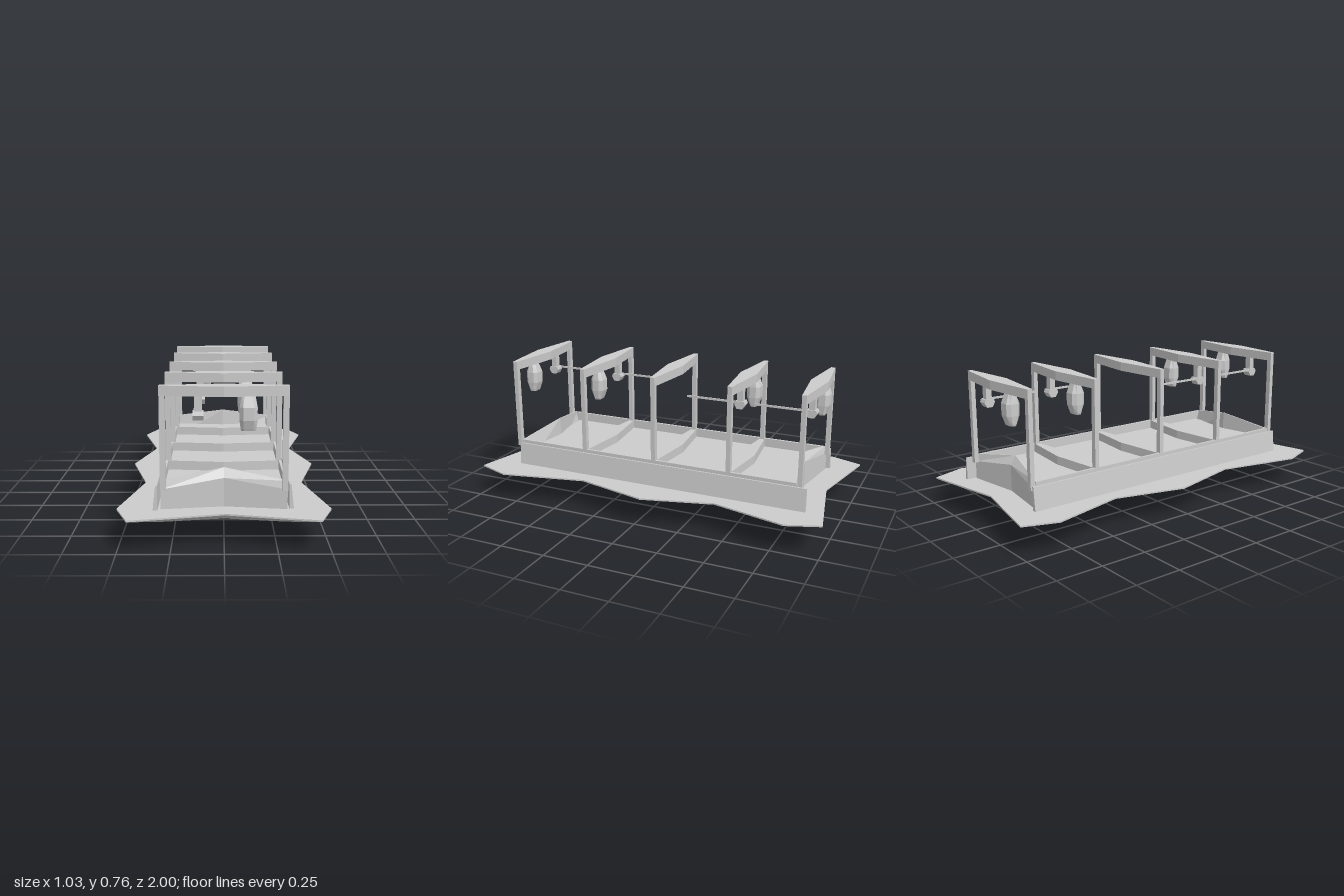
import * as THREE from 'three';

const material = new THREE.MeshStandardMaterial({ color: 0xcccccc, flatShading: true });

function add(parent, name, geometry, x = 0, y = 0, z = 0) {
  const mesh = new THREE.Mesh(geometry, material);
  mesh.name = name;
  mesh.position.set(x, y, z);
  parent.add(mesh);
  return mesh;
}

function fromTriangles(points) {
  const geometry = new THREE.BufferGeometry();
  geometry.setAttribute('position', new THREE.Float32BufferAttribute(points.flat(), 3));
  geometry.computeVertexNormals();
  return geometry;
}

// Solid through cross-sections [x, [[z, y], ...]], listed along +x
function loft(sections) {
  const rings = sections.map(([x, ring]) => ring.map(([z, y]) => [x, y, z]));
  const n = rings[0].length, last = rings[rings.length - 1], tris = [];
  for (let i = 0; i < rings.length - 1; i++) {
    for (let j = 0; j < n; j++) {
      const k = (j + 1) % n;
      const a = rings[i][j], b = rings[i][k], c = rings[i + 1][k], d = rings[i + 1][j];
      tris.push(a, d, c, a, c, b);
    }
  }
  for (let j = 1; j < n - 1; j++) {
    tris.push(rings[0][0], rings[0][j], rings[0][j + 1]);
    tris.push(last[0], last[j + 1], last[j]);
  }
  return fromTriangles(tris);
}

// Cross beam, thin at the ends and wide in the middle
function beam(y0, y1) {
  const rect = (w) => [[w, y0], [w, y1], [-w, y1], [-w, y0]];
  return loft([[-0.303, rect(0.012)], [0, rect(0.047)], [0.303, rect(0.012)]]);
}

function createBase() {
  const base = new THREE.Group();
  base.name = 'base';
  const mirror = (points) => points.map(([x, ...rest]) => [-x, ...rest]).reverse();

  // Right-hand half of the outline, front to back
  const half = [[0.45, 1], [0.515, 0.82], [0.415, 0.36], [0.515, -0.04],
    [0.415, -0.42], [0.515, -0.82], [0.45, -1]];
  const outline = [[0, 0.9], ...half, [0, -0.91], ...mirror(half)];
  const shape = new THREE.Shape(outline.map(([x, z]) => new THREE.Vector2(x, z)));
  const slab = new THREE.ExtrudeGeometry(shape, { depth: 0.008, bevelEnabled: false });
  slab.rotateX(Math.PI / 2);
  add(base, 'deckSlab', slab, 0, 0.163, 0);

  // Underside: a sloping band from the rim to a lower ring, one point per rim point
  const lowerHalf = [[0.3, 0.1, 0.83], [0.3, 0.1, 0.83], [0.27, 0.103, 0.4], [0.3, 0.113, -0.02],
    [0.27, 0.103, -0.45], [0.3, 0.1, -0.83], [0.3, 0.1, -0.83]];
  const lower = [[0, 0.1, 0.78], ...lowerHalf, [0, 0.1, -0.79], ...mirror(lowerHalf)];
  const rim = outline.map(([x, z]) => [x, 0.155, z]);
  const tris = [];
  rim.forEach((a, i) => {
    const k = (i + 1) % rim.length;
    tris.push(a, lower[i], lower[k], a, lower[k], rim[k]);
  });

  // Two shallow keels meeting at a raised saddle
  const saddle = [0, 0.12, -0.02];
  const keels = [
    [[0, 0, 0.41], [...lower.slice(0, 5), saddle, ...lower.slice(12)]],
    [[0, 0, -0.45], [saddle, ...lower.slice(4, 13)]],
  ];
  for (const [tip, ring] of keels) {
    ring.forEach((p, i) => tris.push(tip, ring[(i + 1) % ring.length], p));
  }
  add(base, 'underside', fromTriangles(tris));
  return base;
}

function createBody() {
  const body = new THREE.Group();
  body.name = 'body';
  add(body, 'floor', new THREE.BoxGeometry(0.59, 0.09, 1.56), 0, 0.205, 0);
  for (const s of [1, -1]) {
    add(body, 'sideRail', new THREE.BoxGeometry(0.014, 0.14, 1.64), s * 0.296, 0.23, 0);

    // Folded end wall with a sloping cap that peaks in the middle
    const edge = [[0.83, 0.16], [0.83, 0.26], [0.82, 0.3], [0.81, 0.3], [0.775, 0.16]];
    const fold = [[0.785, 0.16], [0.785, 0.305], [0.755, 0.35], [0.75, 0.35], [0.745, 0.16]];
    const wall = add(body, 'endWall', loft([[-0.303, edge], [0, fold], [0.303, edge]]));
    wall.rotation.y = s > 0 ? 0 : Math.PI;

    // Leaning outer panel, wider at its foot
    const section = [[0.335, 0.16], [0.321, 0.285], [0.312, 0.285], [0.312, 0.16]];
    const panel = add(body, 'sidePanel', loft([[-0.82, section], [0.88, section]]));
    panel.rotation.y = s * Math.PI / 2;
    if (s < 0) panel.position.set(-0.005, 0, -0.03);
  }
  return body;
}

function createFrame(z) {
  const frame = new THREE.Group();
  frame.name = 'frame';
  frame.position.z = z;
  add(frame, 'topBeam', beam(0.715, 0.763));
  for (const s of [1, -1]) {
    add(frame, 'post', new THREE.BoxGeometry(0.028, 0.465, 0.024), s * 0.289, 0.4925, 0);
  }
  return frame;
}

// Broad chamfered barrel lantern on one side, strap and rod on the other
function createHangings() {
  const group = new THREE.Group();
  group.name = 'hangings';
  const chamfered = (w, d) => {
    const u = w * 0.6, v = d * 0.5;
    return [[d, -u], [d, u], [v, w], [-v, w], [-d, u], [-d, -u], [-v, -w], [v, -w]];
  };
  const lantern = loft([
    [-0.083, chamfered(0.034, 0.018)],
    [-0.073, chamfered(0.037, 0.022)],
    [-0.03, chamfered(0.042, 0.037)],
    [0.03, chamfered(0.042, 0.037)],
    [0.083, chamfered(0.032, 0.018)],
  ]);
  lantern.rotateZ(Math.PI / 2);
  add(group, 'lantern', lantern, 0.113, 0.633, 0);

  add(group, 'strap', new THREE.BoxGeometry(0.036, 0.09, 0.032), -0.121, 0.675, 0);
  const foot = [[0.015, 0.6], [0.03, 0.625], [0.024, 0.642], [-0.024, 0.642], [-0.03, 0.625], [-0.015, 0.6]];
  add(group, 'strapFoot', loft([[-0.146, foot], [-0.096, foot]]));
  add(group, 'rod', new THREE.BoxGeometry(0.006, 0.011, 0.29), -0.14, 0.636, -0.155);
  return group;
}

export function createModel() {
  const model = new THREE.Group();
  model.name = 'carriage';
  model.add(createBase(), createBody());

  for (const z of [0.84, 0.405, -0.02, -0.452, -0.838]) {
    const frame = createFrame(z);
    // Floor sills run under the inner frames only
    if (Math.abs(z) < 0.5) add(frame, 'sill', beam(0.25, 0.298));
    // The middle frame carries nothing; the rear pair is turned around
    if (Math.abs(z) > 0.1) {
      const hangings = createHangings();
      hangings.rotation.y = z > 0 ? 0 : Math.PI;
      frame.add(hangings);
    }
    model.add(frame);
  }
  return model;
}
